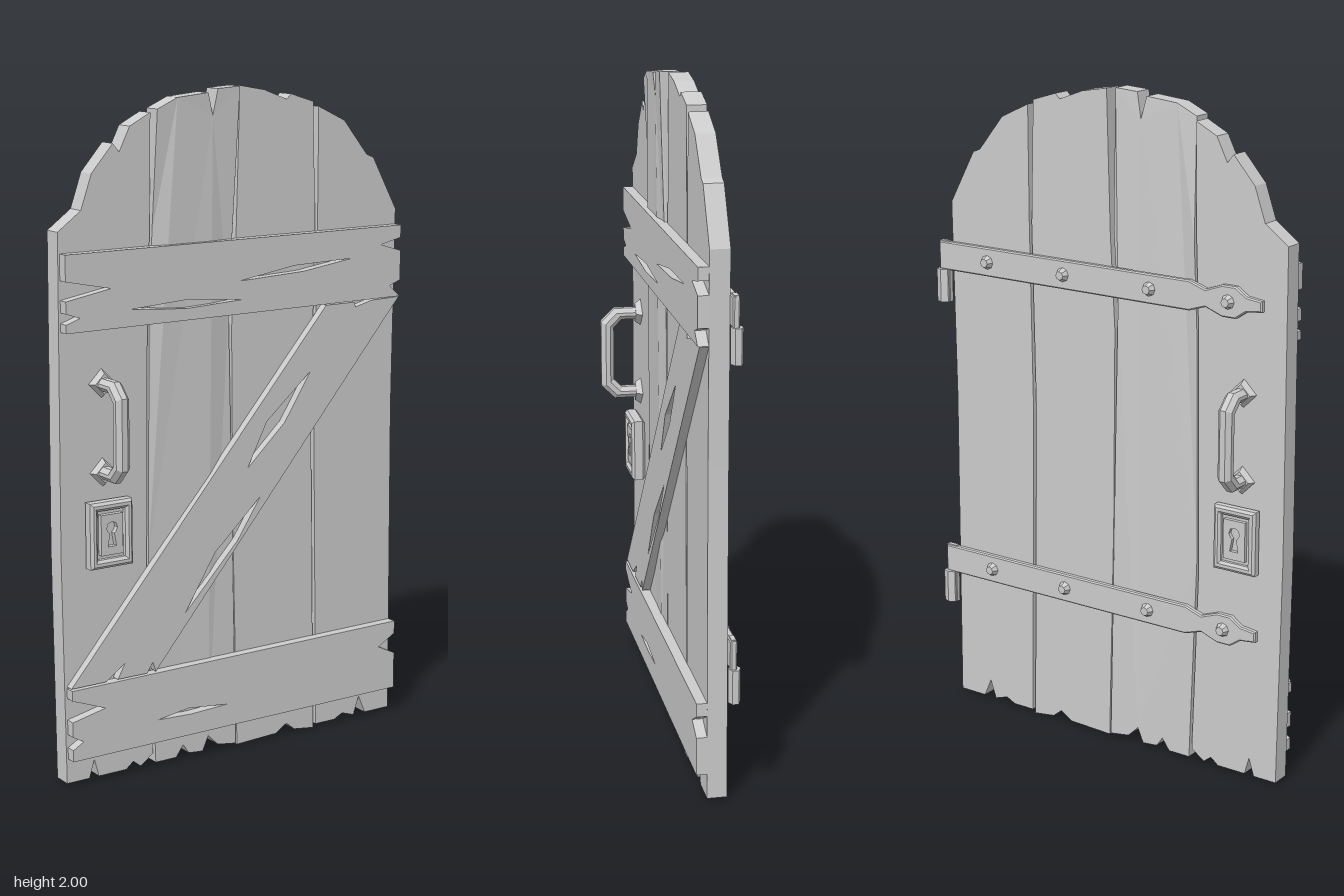
import * as THREE from 'three';

const material = new THREE.MeshStandardMaterial({ color: 0xcccccc, flatShading: true, side: THREE.DoubleSide });
const BACK = -0.037, FRONT = 0.021;
const points = (list) => list.map(([x, y]) => new THREE.Vector2(x, y));

function mesh(name, geometry, parent, x = 0, y = 0, z = 0) {
  const m = new THREE.Mesh(geometry, material);
  m.name = name;
  m.position.set(x, y, z);
  parent.add(m);
  return m;
}

// Extruded outline with optional holes; the bevel stays inside the outline and depth.
function slab(outline, depth, holes = [], bevel = 0) {
  const shape = new THREE.Shape(points(outline));
  holes.forEach((h) => shape.holes.push(new THREE.Path(points(h))));
  return new THREE.ExtrudeGeometry(shape, {
    depth: depth - 2 * bevel, bevelEnabled: bevel > 0, bevelThickness: bevel,
    bevelSize: bevel, bevelOffset: -bevel, bevelSegments: 1,
  }).translate(0, 0, bevel);
}

const rect = (w, h) => [[-w, -h], [w, -h], [w, h], [-w, h]];
const chamferedRect = (w, h, c) => [[-w + c, -h], [w - c, -h], [w, -h + c], [w, h - c],
  [w - c, h], [-w + c, h], [-w, h - c], [-w, -h + c]];

// Plank outlines: top edge, right edge, bottom edge, left edge, clockwise.
const planks = [
  [[-0.61, 1.62], [-0.535, 1.675], [-0.5, 1.775], [-0.43, 1.855], [-0.41, 1.83], [-0.375, 1.9], [-0.307, 1.935],
    [-0.313, 1.6], [-0.323, 1.34], [-0.333, 0.6], [-0.317, 0.04], [-0.36, 0.01], [-0.385, 0.03], [-0.41, 0.01],
    [-0.503, 0.01], [-0.518, 0.065], [-0.535, 0.01], [-0.61, 0.01], [-0.617, 0.7]],
  [[-0.296, 1.945], [-0.23, 1.975], [-0.127, 1.985], [-0.11, 1.92], [-0.095, 1.995], [-0.02, 2],
    [-0.03, 1.6], [-0.045, 1.37], [-0.037, 0.97], [-0.02, 0.01], [-0.085, 0.02], [-0.12, 0.055], [-0.14, 0.01],
    [-0.19, 0.015], [-0.21, 0.045], [-0.235, 0.01], [-0.307, 0.01], [-0.327, 0.65], [-0.317, 1.34], [-0.305, 1.6]],
  [[-0.005, 2], [0.08, 1.985], [0.16, 1.955], [0.175, 1.97], [0.255, 1.945],
    [0.265, 1.58], [0.255, 1], [0.272, 0], [0.2, 0.01], [0.17, 0.035], [0.13, 0.01], [-0.015, 0.005],
    [-0.03, 0.7], [-0.034, 1.3], [-0.018, 1.58]],
  [[0.275, 1.93], [0.37, 1.885], [0.455, 1.78], [0.48, 1.77], [0.567, 1.61],
    [0.56, 1], [0.567, 0.01], [0.475, 0.01], [0.45, 0.068], [0.43, 0.01], [0.385, 0.025], [0.355, 0.01],
    [0.282, 0.01], [0.266, 1], [0.274, 1.58]],
];

// Cross boards with split ends and long cracks.
const boards = [
  ['upperBoard',
    [[-0.605, 1.56], [0.565, 1.563], [0.565, 1.525], [0.49, 1.508], [0.565, 1.485], [0.565, 1.395], [0.525, 1.38],
      [0.565, 1.345], [-0.605, 1.34], [-0.605, 1.365], [-0.56, 1.38], [-0.605, 1.395], [-0.605, 1.43],
      [-0.46, 1.455], [-0.605, 1.485]],
    [[[-0.397, 1.39], [-0.2, 1.402], [-0.016, 1.385], [-0.21, 1.376]],
      [[-0.026, 1.44], [0.17, 1.47], [0.38, 1.475], [0.2, 1.45]]]],
  ['lowerBoard',
    [[-0.605, 0.3], [0.565, 0.305], [0.565, 0.265], [0.503, 0.23], [0.565, 0.2], [0.565, 0.085], [-0.605, 0.085],
      [-0.605, 0.12], [-0.57, 0.14], [-0.605, 0.16], [-0.605, 0.205], [-0.495, 0.228], [-0.605, 0.27]],
    [[[-0.317, 0.155], [-0.21, 0.17], [-0.07, 0.155], [-0.2, 0.15]]]],
  ['diagonalBoard',
    [[-0.605, 0.305], [0.29, 1.34], [0.395, 1.34], [0.4, 1.325], [0.46, 1.34], [0.565, 1.343], [-0.32, 0.305],
      [-0.33, 0.335], [-0.35, 0.305], [-0.45, 0.305], [-0.425, 0.35], [-0.49, 0.305]],
    [[[0.005, 0.875], [0.075, 1.01], [0.233, 1.145], [0.14, 1]],
      [[-0.217, 0.465], [-0.11, 0.635], [0.053, 0.785], [-0.03, 0.66]]]],
];

// Lock plate built facing +z from z = 0.
function lockPlate() {
  const g = new THREE.Group();
  g.name = 'lockPlate';
  mesh('lockFrame', slab(rect(0.07, 0.0975), 0.042, [rect(0.046, 0.072)], 0.008), g);
  mesh('lockBase', slab(rect(0.055, 0.08), 0.022), g);
  const keyhole = [[-0.014, -0.035], [0.014, -0.035], [0.007, 0.003]];
  for (let i = 0; i <= 6; i++) {
    const a = -0.9 + i * (Math.PI + 1.8) / 6;
    keyhole.push([0.018 * Math.cos(a), 0.02 + 0.018 * Math.sin(a)]);
  }
  keyhole.push([-0.007, 0.003]);
  mesh('keyholePanel', slab(rect(0.036, 0.06), 0.016, [keyhole]), g, 0, 0, 0.022);
  return g;
}

// Strap hinge on the back face, centred on its rivet line.
function hinge(y) {
  const g = new THREE.Group();
  g.name = 'hinge';
  g.position.y = y;
  const half = [[-0.54, 0.016], [-0.49, 0.022], [-0.455, 0.046], [-0.41, 0.046], [-0.355, 0.026], [-0.3, 0.044], [0.605, 0.044]];
  const outline = [...half, ...half.map(([x, h]) => [x, -h]).reverse()];
  mesh('strap', slab(outline, 0.02, [], 0.004), g, 0, 0, BACK - 0.019);
  for (const x of [0.42, 0.14, -0.165, -0.43]) {
    mesh('rivet', new THREE.CylinderGeometry(0.013, 0.022, 0.018, 8).rotateX(-Math.PI / 2), g, x, 0, BACK - 0.027);
  }
  mesh('knuckle', new THREE.CylinderGeometry(0.024, 0.024, 0.102, 6).scale(1, 1, 0.75), g, 0.592, -0.093, -0.05);
  mesh('knuckleLeaf', new THREE.BoxGeometry(0.035, 0.19, 0.014), g, 0.585, -0.048, -0.046);
  return g;
}

export function createModel() {
  const door = new THREE.Group();
  door.name = 'door';

  // Upright planks; the second one warps forward at its top.
  planks.forEach((outline, i) => {
    const geometry = slab(outline, FRONT - BACK);
    if (i === 1) {
      const p = geometry.attributes.position;
      for (let k = 0; k < p.count; k++) p.setZ(k, p.getZ(k) + 0.023 * Math.max(0, (p.getY(k) - 1.6) / 0.4));
      geometry.computeVertexNormals();
    }
    mesh('plank' + (i + 1), geometry, door, 0, 0, BACK);
  });

  // Cross boards
  boards.forEach(([name, outline, cracks]) => {
    mesh(name, slab(outline, name === 'diagonalBoard' ? 0.026 : 0.031, cracks), door, 0, 0, FRONT);
  });

  // One ring forms the pull handles on both faces.
  const ring = slab(chamferedRect(0.148, 0.146, 0.042), 0.044, [chamferedRect(0.108, 0.11, 0.025)], 0.013);
  ring.translate(0, 0, -0.022).rotateY(Math.PI / 2);
  mesh('handles', ring, door, -0.477, 1.054, 0);

  // Handle mounts and lock plates on both faces
  for (const side of [1, -1]) {
    const face = new THREE.Group();
    face.name = side > 0 ? 'frontFittings' : 'backFittings';
    face.position.set(-0.477, 0, side > 0 ? FRONT : BACK);
    if (side < 0) face.rotation.y = Math.PI;
    for (const y of [0.925, 1.183]) {
      mesh('handleMount', new THREE.CylinderGeometry(0.03, 0.042, 0.018, 4).rotateX(Math.PI / 2), face, 0, y, 0.009);
    }
    const lock = lockPlate();
    lock.position.set(side * 0.007, 0.748, 0);
    if (side < 0) lock.scale.z = 0.75;
    face.add(lock);
    door.add(face);
  }

  // Hinges
  door.add(hinge(1.444), hinge(0.46));
  return door;
}
